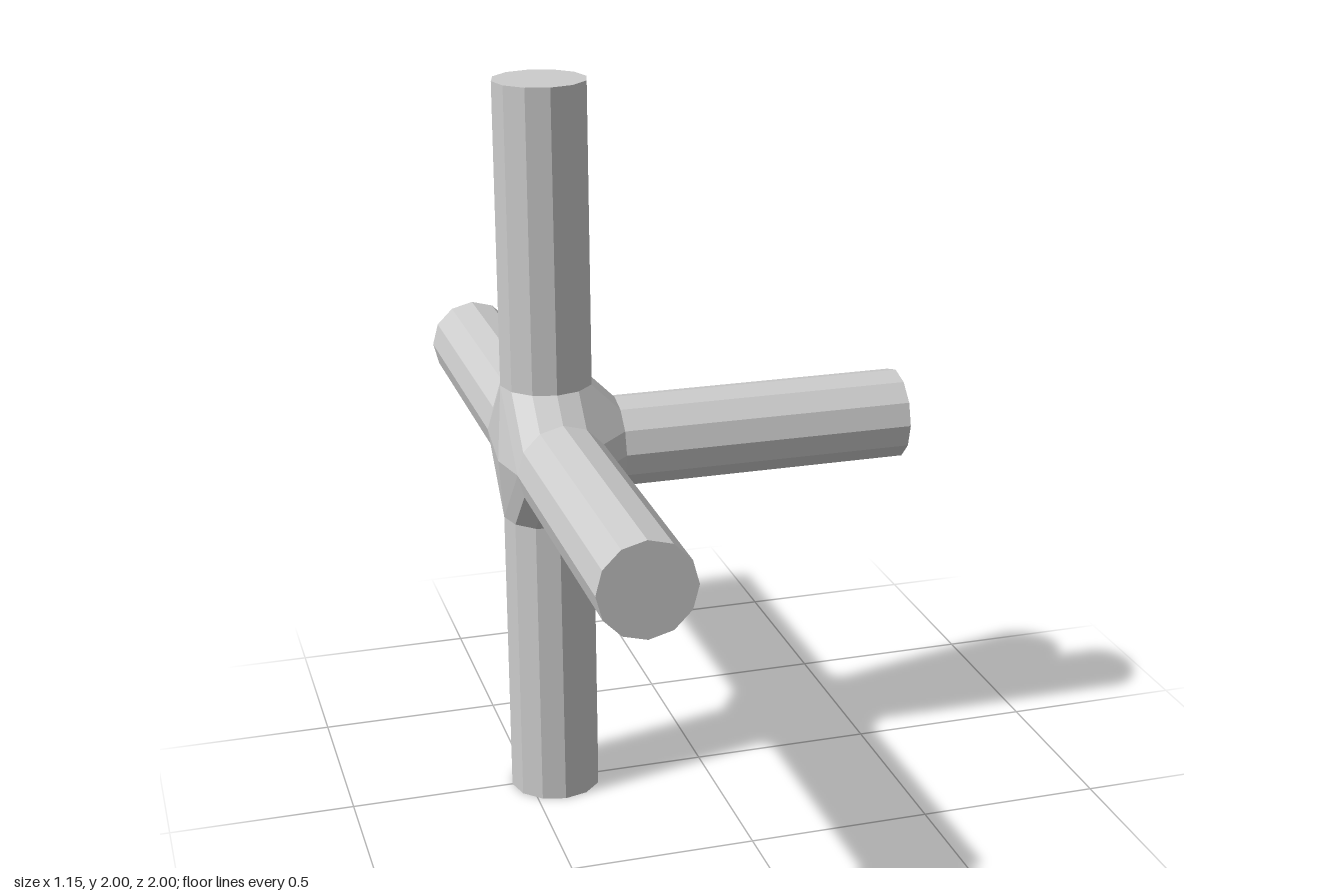
import * as THREE from 'three';
import { ConvexGeometry } from 'three/addons/geometries/ConvexGeometry.js';

const RADIUS = 0.125;   // arm radius
const SIDES = 12;
const INNER = 0.1875;   // where the arms leave the hub
const OUTER = 1;        // arm tips, from the hub centre

export function createModel() {
  const model = new THREE.Group();
  const material = new THREE.MeshStandardMaterial({ color: 0xcccccc, flatShading: true });
  const up = new THREE.Vector3(0, 1, 0);
  const arms = {
    topArm: [0, 1, 0],
    bottomArm: [0, -1, 0],
    frontArm: [0, 0, 1],
    backArm: [0, 0, -1],
    leftArm: [1, 0, 0],
  };

  // a bulge closes the side of the hub that has no arm
  const hubPoints = [new THREE.Vector3(-0.15, 0, 0.065)];

  for (const [name, axis] of Object.entries(arms)) {
    const direction = new THREE.Vector3(...axis);
    const turn = new THREE.Quaternion().setFromUnitVectors(up, direction);

    // faceted arm
    const arm = new THREE.Mesh(
      new THREE.CylinderGeometry(RADIUS, RADIUS, OUTER - INNER, SIDES), material);
    arm.name = name;
    arm.quaternion.copy(turn);
    arm.position.copy(direction).multiplyScalar((OUTER + INNER) / 2);
    model.add(arm);

    // ring where the arm meets the hub
    for (let i = 0; i < SIDES; i++) {
      const a = (i / SIDES) * Math.PI * 2;
      hubPoints.push(new THREE.Vector3(
        RADIUS * Math.sin(a), INNER, RADIUS * Math.cos(a)).applyQuaternion(turn));
    }
  }

  // hub: hull around all the rings
  const hub = new THREE.Mesh(new ConvexGeometry(hubPoints), material);
  hub.name = 'hub';
  model.add(hub);

  model.position.set(-0.425, 1, 0);
  const root = new THREE.Group();
  model.name = 'pipeJoint';
  root.add(model);
  return root;
}
